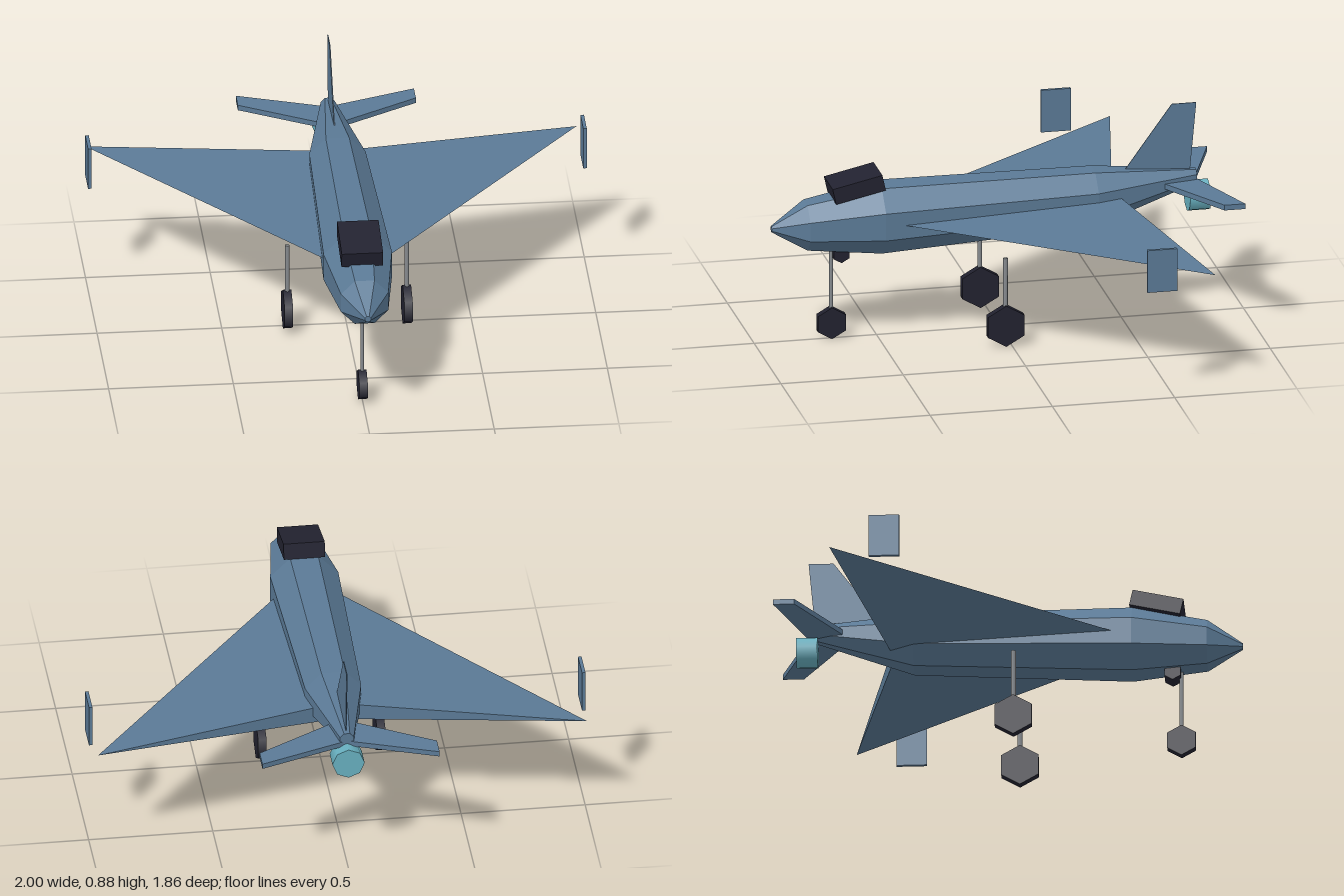
import * as THREE from 'three';
import { ConvexGeometry } from 'three/addons/geometries/ConvexGeometry.js';

const paint = (name, color) => Object.assign(new THREE.MeshStandardMaterial({ color }), { name });

// Faceted hull lofted through octagons, listed front to back as [z, centre y, half width]
function loftOctagons(sections) {
  const rings = sections.map(([z, cy, half]) => Array.from({ length: 8 }, (_, i) => {
    const a = (i + 0.5) * Math.PI / 4, r = half / Math.cos(Math.PI / 8);
    return [Math.cos(a) * r, cy + Math.sin(a) * r, z];
  }));
  const pos = [];
  const tri = (...pts) => pts.forEach((p) => pos.push(...p));
  for (let s = 0; s < rings.length - 1; s++) {
    for (let i = 0; i < 8; i++) {
      const j = (i + 1) % 8, f = rings[s], b = rings[s + 1];
      tri(f[i], b[i], f[j]);
      tri(f[j], b[i], b[j]);
    }
  }
  const front = rings[0], back = rings[rings.length - 1];
  for (let i = 1; i < 7; i++) {
    tri(front[0], front[i], front[i + 1]);
    tri(back[0], back[i + 1], back[i]);
  }
  const geo = new THREE.BufferGeometry();
  geo.setAttribute('position', new THREE.Float32BufferAttribute(pos, 3));
  geo.computeVertexNormals();
  return geo;
}

const hull = (points) => new ConvexGeometry(points.map((p) => new THREE.Vector3(...p)));

export function createModel() {
  const blue = paint('slateBlue', 0x5b7a96);
  const dark = paint('nearBlack', 0x222230);
  const grey = paint('strutGrey', 0x888c90);
  const teal = paint('nozzleTeal', 0x68b0c0);

  const model = new THREE.Group();
  model.name = 'jet';
  const add = (name, geo, mat, x = 0, y = 0, z = 0) => {
    const mesh = new THREE.Mesh(geo, mat);
    mesh.name = name;
    mesh.position.set(x, y, z);
    model.add(mesh);
    return mesh;
  };

  // Body
  add('fuselage', loftOctagons([
    [0.93, 0.478, 0.012],
    [0.79, 0.485, 0.095],
    [0.49, 0.498, 0.137],
    [-0.385, 0.52, 0.113],
    [-0.805, 0.577, 0.028],
  ]), blue);
  add('canopy', new THREE.BoxGeometry(0.166, 0.066, 0.208), dark, 0, 0.646, 0.588).rotation.x = 0.22;

  // Tail fin
  const fin = [[0.6, -0.5], [0.885, -0.707], [0.885, -0.807], [0.59, -0.78]];
  add('tailFin', hull(fin.flatMap(([y, z]) => [[0.002, y, z], [-0.002, y, z]])), blue);

  // Exhaust
  add('nozzle', new THREE.CylinderGeometry(0.065, 0.065, 0.085, 8).rotateX(Math.PI / 2),
    teal, 0, 0.494, -0.812);

  // Wheel: hexagon with a point at the bottom, axle along x
  const wheelGeo = (r, width) =>
    new THREE.CylinderGeometry(r, r, width, 6).rotateZ(Math.PI / 2).rotateX(Math.PI / 2);
  const hexTurned = (r, width) => {
    const geo = wheelGeo(r, width);
    geo.computeBoundingBox();
    // Keep the long diagonal upright
    const size = geo.boundingBox.getSize(new THREE.Vector3());
    return size.y < size.z ? geo.rotateX(Math.PI / 2) : geo;
  };
  const addGear = (name, x, z, r, strutRadius) => {
    add(name + 'Wheel', hexTurned(r, 0.034), dark, x, r, z);
    const height = 0.37 - r;
    add(name + 'Strut', new THREE.CylinderGeometry(strutRadius, strutRadius, height, 6),
      grey, x, r + height / 2, z);
  };
  addGear('nose', 0, 0.685, 0.066, 0.008);
  add('chinSensor', hexTurned(0.037, 0.07), dark, 0, 0.362, 0.65);

  // Mirrored parts
  for (const [side, s] of [['left', 1], ['right', -1]]) {
    // Wing: sharp front, thick rear, tapering to a point
    add(side + 'Wing', hull([
      [s * 0.05, 0.5, 0.518], [s * 0.05, 0.535, -0.473],
      [s * 0.05, 0.465, -0.473], [s * 0.985, 0.5, -0.67],
    ]), blue);

    add(side + 'TipPlate', new THREE.BoxGeometry(0.014, 0.178, 0.122), blue, s * 0.993, 0.54, -0.45);

    const tailplane = [[0, -0.635], [0.357, -0.845], [0.357, -0.93], [0, -0.8]];
    add(side + 'Tailplane',
      hull(tailplane.flatMap(([x, z]) => [[s * x, 0.546, z], [s * x, 0.568, z]])), blue);

    addGear(side + 'Main', s * 0.24, 0.025, 0.086, 0.01);
  }
  return model;
}
